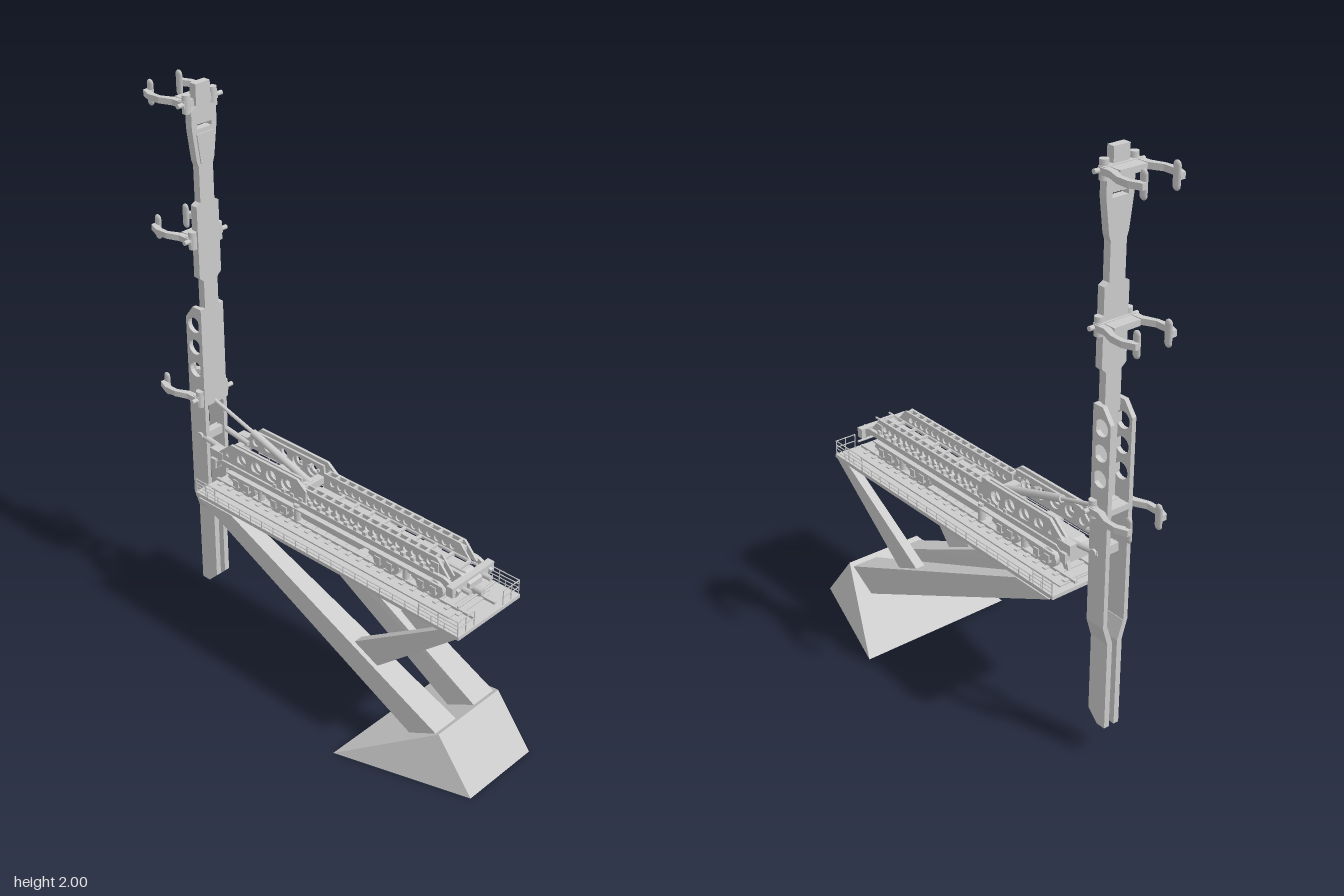
import * as THREE from 'three';
import { ConvexGeometry } from 'three/addons/geometries/ConvexGeometry.js';

const V = (x, y, z) => new THREE.Vector3(x, y, z);
const material = new THREE.MeshStandardMaterial({ color: 0xcccccc, side: THREE.DoubleSide });

export function createModel() {
  const model = new THREE.Group();
  let group = model;
  const part = (name) => {
    group = new THREE.Group();
    group.name = name;
    model.add(group);
  };
  const add = (name, geo) => {
    const m = new THREE.Mesh(geo, material);
    m.name = name;
    group.add(m);
    return m;
  };
  // box from min/max limits
  const box = (name, x0, x1, y0, y1, z0, z1) => {
    const g = new THREE.BoxGeometry(Math.abs(x1 - x0), y1 - y0, Math.abs(z1 - z0));
    return add(name, g.translate((x0 + x1) / 2, (y0 + y1) / 2, (z0 + z1) / 2));
  };
  // round bar between two points
  const bar = (name, a, b, r, sides = 8) => {
    const d = b.clone().sub(a);
    const m = add(name, new THREE.CylinderGeometry(r, r, d.length(), sides));
    m.position.copy(a).add(b).multiplyScalar(0.5);
    m.quaternion.setFromUnitVectors(V(0, 1, 0), d.normalize());
    return m;
  };
  const hull = (name, pts) => add(name, new ConvexGeometry(pts));
  const shapeOf = (pts, holes = []) => {
    const s = new THREE.Shape(pts.map((p) => new THREE.Vector2(p[0], p[1])));
    for (const [a, b, r] of holes) s.holes.push(new THREE.Path().absarc(a, b, r, 0, Math.PI * 2, true));
    return s;
  };
  const extrude = (s, depth) => new THREE.ExtrudeGeometry(s, { depth, bevelEnabled: false, curveSegments: 8 });
  // plate with a (z, y) outline, centred on x
  const sidePlate = (name, pts, x, w, holes) =>
    add(name, extrude(shapeOf(pts, holes), w).rotateY(-Math.PI / 2).translate(x + w / 2, 0, 0));
  // plate with an (x, z) outline, centred on y
  const flatPlate = (name, pts, y, h) =>
    add(name, extrude(shapeOf(pts), h).rotateX(Math.PI / 2).translate(0, y + h / 2, 0));

  // wedge foundation
  part('foundation');
  hull('foundationBlock', [-1, 1].flatMap((s) => [V(s * 0.15, 0, 0.74), V(s * 0.295, 0, 0.28), V(s * 0.15, 0.18, 0.6)]));

  // long sloping arms and front struts carrying the deck
  part('supports');
  for (const s of [-1, 1]) {
    hull('supportArm', [
      ...[0.045, 0.145].flatMap((x) => [V(s * x, 0.17, 0.585), V(s * x, 0.105, 0.485)]),
      ...[0.1, 0.15].flatMap((x) => [V(s * x, 0.58, -0.33), V(s * x, 0.58, -0.49)]),
    ]);
    hull('frontStrut', [
      V(s * 0.15, 0.585, 0.65), V(s * 0.15, 0.585, 0.58), V(s * 0.12, 0.585, 0.65), V(s * 0.12, 0.585, 0.58),
      V(s * 0.13, 0.32, 0.2), V(s * 0.13, 0.28, 0.31), V(s * 0.085, 0.28, 0.31), V(s * 0.095, 0.32, 0.2),
    ]);
  }

  // deck with underframe
  part('deck');
  box('deckPlate', -0.15, 0.15, 0.585, 0.598, -0.505, 0.66);
  box('deckTrack', -0.1, 0.1, 0.598, 0.603, -0.48, 0.58);
  for (const s of [-1, 1]) {
    box('underBeam', s * 0.085, s * 0.1, 0.55, 0.585, -0.43, 0.57);
    box('rail', s * 0.046, s * 0.056, 0.603, 0.612, -0.5, 0.64);
  }
  for (let i = 0; i <= 5; i++) box('crossBeam', -0.1, 0.1, 0.555, 0.585, -0.43 + i * 0.197, -0.415 + i * 0.197);
  for (let i = 0; i < 24; i++) box('sleeper', -0.075, 0.075, 0.603, 0.607, -0.475 + i * 0.046, -0.46 + i * 0.046);

  // railings: low along the sides, higher at the ends
  part('railings');
  for (const s of [-1, 1]) {
    const x = s * 0.148;
    for (const y of [0.608, 0.622]) bar('sideRail', V(x, y, -0.5), V(x, y, 0.655), 0.0018, 5);
    for (let i = 0; i <= 22; i++) bar('sidePost', V(x, 0.595, -0.5 + i * 0.0525), V(x, 0.622, -0.5 + i * 0.0525), 0.0018, 5);
    for (const [a, b] of [[0.5, 0.655], [-0.5, -0.41]]) {
      for (const y of [0.635, 0.65]) bar('endRail', V(x, y, a), V(x, y, b), 0.002, 5);
      for (const z of [a, (a + b) / 2, b]) bar('endPost', V(x, 0.595, z), V(x, 0.652, z), 0.002, 5);
    }
    for (const y of [0.625, 0.65]) bar('frontRail', V(x, y, 0.655), V(s * 0.07, y, 0.655), 0.002, 5);
    for (const px of [0.07, 0.11]) bar('frontPost', V(s * px, 0.595, 0.655), V(s * px, 0.652, 0.655), 0.002, 5);
  }

  // wheel bogies
  part('bogies');
  for (const zc of [0.375, -0.27]) {
    for (const dz of [-0.115, -0.065, 0.065, 0.115]) {
      bar('axle', V(-0.07, 0.643, zc + dz), V(0.07, 0.643, zc + dz), 0.007);
      for (const s of [-1, 1]) {
        bar('wheel', V(s * 0.044, 0.643, zc + dz), V(s * 0.06, 0.643, zc + dz), 0.031, 20);
        box('axleBox', s * 0.062, s * 0.075, 0.633, 0.66, zc + dz - 0.012, zc + dz + 0.012);
      }
    }
    for (const s of [-1, 1]) {
      for (const d of [-0.09, 0.09]) {
        sidePlate('bogieFrame', [[-0.065, 0.655], [-0.025, 0.64], [0.025, 0.64], [0.065, 0.655], [0.06, 0.672], [-0.06, 0.672]]
          .map(([z, y]) => [z + zc + d, y]), s * 0.067, 0.008);
      }
      bar('spring', V(s * 0.064, 0.632, zc), V(s * 0.064, 0.675, zc), 0.012);
    }
    box('bolster', -0.07, 0.07, 0.66, 0.7, zc - 0.03, zc + 0.03);
  }

  // wagon frame
  part('wagon');
  sidePlate('centreSill', [[0.6, 0.7], [0.56, 0.72], [-0.44, 0.72], [-0.49, 0.7], [-0.49, 0.68], [0.6, 0.68]], 0, 0.06);
  for (const s of [-1, 1]) {
    sidePlate('sideSill', [[0.59, 0.675], [0.6, 0.7], [0.54, 0.722], [-0.44, 0.722], [-0.49, 0.69], [-0.5, 0.66],
      [-0.48, 0.66], [-0.45, 0.703], [0.53, 0.703], [0.575, 0.675]], s * 0.078, 0.012);
    sidePlate('equipmentBox', [[0.21, 0.705], [0.21, 0.672], [0.19, 0.658], [-0.06, 0.658], [-0.095, 0.675], [-0.095, 0.705]], s * 0.06, 0.04);
    bar('supportJack', V(s * 0.085, 0.65, -0.08), V(s * 0.085, 0.71, -0.08), 0.012);
    // pierced low truss and taller rear truss
    const low = Array.from({ length: 17 }, (_, i) => [0.47 - i * 0.032, 0.744, 0.011]);
    sidePlate('lowTruss', [[0.55, 0.715], [0.5, 0.77], [-0.08, 0.77], [-0.08, 0.715]], s * 0.066, 0.008, low);
    sidePlate('lowTrussInner', [[0.55, 0.715], [0.5, 0.77], [-0.08, 0.77], [-0.08, 0.715]], s * 0.043, 0.006, low);
    const high = [[-0.14, 0.755, 0.024], [-0.21, 0.755, 0.024], [-0.28, 0.755, 0.024], [-0.35, 0.754, 0.022], [-0.41, 0.745, 0.015]];
    sidePlate('rearTruss', [[-0.05, 0.715], [-0.05, 0.765], [-0.09, 0.795], [-0.4, 0.795], [-0.46, 0.745], [-0.47, 0.715]], s * 0.072, 0.01, high);
    sidePlate('rearTrussInner', [[-0.08, 0.715], [-0.09, 0.79], [-0.4, 0.79], [-0.46, 0.74], [-0.46, 0.715]], s * 0.052, 0.008, high);
    for (let i = 0; i < 18; i++) {
      const z = -0.19 + i * 0.04;
      box('saddleBlock', s * 0.068, s * 0.082, 0.722, 0.734, z - 0.007, z + 0.007);
      box('trussTie', s * 0.042, s * 0.066, 0.761, 0.77, z - 0.004, z + 0.004);
    }
    box('walkway', s * 0.08, s * 0.1, 0.695, 0.7, -0.4, 0.5);
    bar('buffer', V(s * 0.05, 0.69, 0.58), V(s * 0.05, 0.69, 0.62), 0.009);
    box('endBracket', s * 0.045, s * 0.075, 0.715, 0.755, 0.48, 0.51);
    box('rearBracket', s * 0.05, s * 0.08, 0.71, 0.745, -0.5, -0.44);
    bar('hingeLink', V(s * 0.045, 0.73, -0.44), V(s * 0.045, 0.75, -0.59), 0.01);
    // ladder rail
    bar('ladderRail', V(s * 0.028, 0.735, 0), V(s * 0.028, 0.735, 0.58), 0.004, 6);
  }
  for (let i = 0; i < 9; i++) box('ladderRung', -0.028, 0.028, 0.731, 0.739, 0.02 + i * 0.066, 0.03 + i * 0.066);
  box('endBeam', -0.1, 0.1, 0.68, 0.715, 0.565, 0.59);
  box('rearBeam', -0.09, 0.09, 0.68, 0.715, -0.49, -0.465);
  bar('coupler', V(0, 0.67, 0.54), V(0, 0.67, 0.63), 0.012);
  bar('brakeBar', V(-0.09, 0.65, 0.605), V(0.09, 0.65, 0.605), 0.004);

  // lifting cylinder
  part('liftCylinder');
  box('cylinderMount', -0.07, 0.07, 0.725, 0.75, -0.115, -0.085);
  bar('cylinderBody', V(0, 0.74, -0.1), V(0, 0.824, -0.37), 0.013, 16);
  bar('cylinderRod', V(0, 0.824, -0.37), V(0, 0.885, -0.58), 0.007, 12);

  // lower mast: twin legs joined by a front plate
  part('lowerMast');
  for (const s of [-1, 1]) {
    sidePlate('mastSide', [[-0.55, 0.5], [-0.55, 1.237], [-0.59, 1.237], [-0.625, 1.19], [-0.625, 0.5]], s * 0.042, 0.016,
      [[-0.587, 1.17, 0.028], [-0.587, 1.088, 0.028], [-0.587, 1.003, 0.028]]);
    hull('legJog', [-0.55, -0.625].flatMap((z) => [V(s * 0.05, 0.5, z), V(s * 0.032, 0.5, z), V(s * 0.03, 0.435, z), V(s * 0.01, 0.435, z)]));
    sidePlate('mastLeg', [[-0.55, 0.435], [-0.625, 0.435], [-0.625, 0.12], [-0.59, 0.12], [-0.55, 0.16]], s * 0.02, 0.02);
    bar('mastPivot', V(s * 0.03, 0.75, -0.575), V(s * 0.058, 0.75, -0.575), 0.012, 12);
  }
  box('mastFrontPlate', -0.05, 0.05, 0.87, 1.237, -0.565, -0.55);
  bar('rodPin', V(-0.045, 0.885, -0.58), V(0.045, 0.885, -0.58), 0.009);
  box('mastTie', -0.04, 0.04, 0.73, 0.76, -0.59, -0.56);

  // stepped upper mast with a slot near the top
  part('upperMast');
  const half = [[0.03, 1.2], [0.03, 1.335], [0.047, 1.35], [0.047, 1.6], [0.03, 1.61], [0.03, 1.73], [0.037, 1.75],
    [0.052, 1.86], [0.052, 1.915], [0.03, 1.93], [0.03, 2]];
  const mast = shapeOf([...half, ...half.map(([x, y]) => [-x, y]).reverse()]);
  mast.holes.push(new THREE.Path([[-0.03, 1.855], [-0.03, 1.87], [0.03, 1.87], [0.03, 1.855]].map((p) => new THREE.Vector2(...p))));
  add('upperMastPlate', extrude(mast, 0.027).translate(0, 0, -0.577));
  hull('mastPanel', [-0.55, -0.546].flatMap((z) => [V(-0.035, 1.84, z), V(0.035, 1.84, z), V(-0.022, 1.74, z), V(0.022, 1.74, z)]));

  // three pairs of holding claws
  part('claws');
  const claw = [[0.05, -0.555], [0.075, -0.57], [0.075, -0.61], [0.092, -0.655], [0.094, -0.7], [0.078, -0.74],
    [0.06, -0.74], [0.06, -0.725], [0.075, -0.695], [0.076, -0.66], [0.055, -0.62]];
  for (const y of [0.9, 1.485, 1.94]) {
    box('clawCrossBar', -0.07, 0.07, y - 0.012, y + 0.012, -0.585, -0.56);
    box('clawBackPlate', -0.05, 0.05, y - 0.01, y + 0.01, -0.625, -0.585);
    for (const s of [-1, 1]) {
      flatPlate('claw', claw.map(([x, z]) => [s * x, z]), y, 0.02);
      bar('clawHinge', V(s * 0.055, y - 0.03, -0.567), V(s * 0.055, y + 0.03, -0.567), 0.014, 12);
      bar('clawPin', V(s * 0.055, y, -0.567), V(s * 0.092, y, -0.567), 0.008);
      // upright rounded gripping pad
      const pad = add('clawPad', new THREE.CapsuleGeometry(0.014, 0.058, 4, 10));
      pad.scale.x = 0.5;
      pad.position.set(s * 0.06, y, -0.726);
    }
  }
  return model;
}
